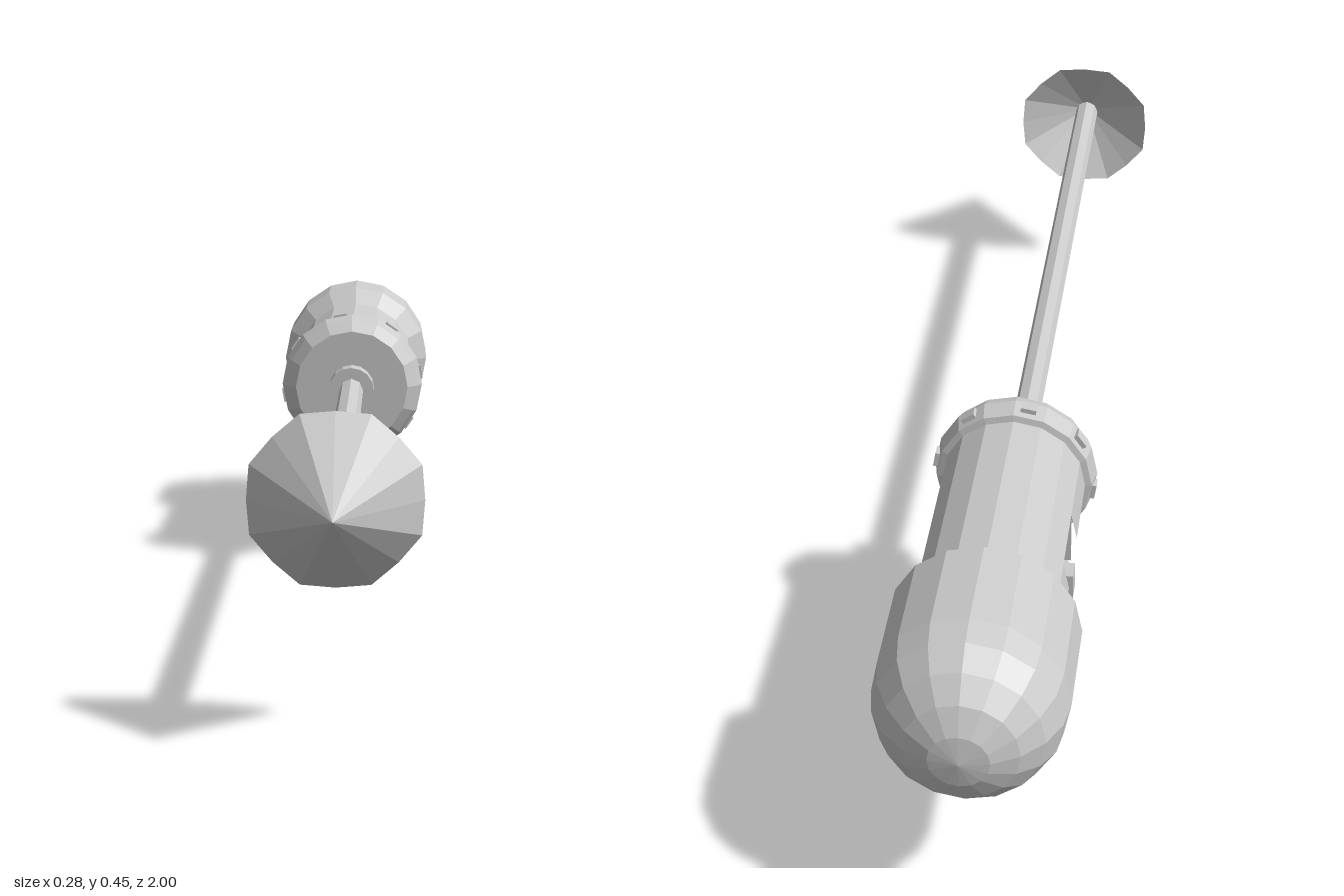
import * as THREE from 'three';

const AXIS = 0.315; // height of the long axis
const SIDES = 16;
const grey = new THREE.MeshStandardMaterial({ color: 0xcccccc, flatShading: true });

function add(parent, name, geometry, x = 0, y = 0, z = 0) {
  const mesh = new THREE.Mesh(geometry, grey);
  mesh.name = name;
  mesh.position.set(x, y, z);
  parent.add(mesh);
  return mesh;
}

// Revolve [radius, z] points, given back to front, around the z axis
function turned(profile, sides = SIDES) {
  const points = profile.map(([r, z]) => new THREE.Vector2(r, z));
  return new THREE.LatheGeometry(points, sides).rotateX(Math.PI / 2);
}

// Open tube from z0 to z1, optionally covering only part of the circle
function tube(z0, z1, r, start = 0, length = Math.PI * 2, sides = SIDES) {
  return new THREE.CylinderGeometry(r, r, z1 - z0, sides, 1, true, start, length)
    .rotateX(Math.PI / 2).translate(0, 0, (z0 + z1) / 2);
}

export function createModel() {
  const model = new THREE.Group();
  const barrel = new THREE.Group();
  barrel.name = 'barrel';
  barrel.position.y = AXIS;
  model.add(barrel);

  // Domed rear housing with a bevelled front edge
  const dome = [];
  for (let i = 0; i <= 5; i++) {
    const a = (i / 5) * Math.PI / 2;
    dome.push([0.138 * Math.sin(a), -0.862 - 0.138 * Math.cos(a)]);
  }
  add(barrel, 'rearHousing', turned([...dome, [0.138, -0.705], [0.11, -0.675]]));

  // Body, with an opening in its right side
  const r = 0.11, zBack = -0.61, zFront = -0.49;
  add(barrel, 'bodyRear', tube(-0.69, zBack, r));
  add(barrel, 'bodyMiddle',
    tube(zBack, zFront, r, Math.PI * 13 / 8, Math.PI * 7 / 4, 14));
  add(barrel, 'bodyFront', tube(zFront, -0.34, r));

  // Recess and switch in the opening
  const zMid = (zBack + zFront) / 2, half = r * Math.sin(Math.PI / 8);
  add(barrel, 'recessFloor', new THREE.BoxGeometry(0.01, half * 2, 0.12), -0.08, 0, zMid);
  for (const s of [-1, 1]) {
    add(barrel, 'recessSide', new THREE.BoxGeometry(0.022, 0.004, 0.12),
      -0.087, s * (half + 0.002), zMid);
    add(barrel, 'recessEnd', new THREE.BoxGeometry(0.025, half * 2, 0.004),
      -0.089, 0, zMid + s * 0.062);
  }
  add(barrel, 'switch', new THREE.BoxGeometry(0.035, 0.04, 0.032), -0.098, 0, -0.592);

  // Collar with bevelled nose and shaft socket
  add(barrel, 'collar', turned([
    [0.108, -0.355], [0.12, -0.352], [0.126, -0.32], [0.118, -0.298],
    [0.1, -0.274], [0.04, -0.274], [0.04, -0.23], [0.015, -0.23],
  ]));
  for (let i = 0; i < 8; i++) {
    const a = (10 + i * 45) * Math.PI / 180;
    const stud = add(barrel, 'collarStud', new THREE.BoxGeometry(0.014, 0.024, 0.02),
      0.12 * Math.cos(a), 0.12 * Math.sin(a), -0.332);
    stud.rotation.z = a;
  }

  // Long shaft
  add(barrel, 'shaft', turned([[0.021, -0.24], [0.021, 0.91]], 8));

  // Hollow-backed point; every second rim corner is pulled in to give eight facets
  const point = turned([[0, 0.91], [0.125, 0.84], [0, 1]]);
  const p = point.attributes.position;
  for (let i = 0; i < p.count; i++) {
    const step = Math.round(Math.atan2(p.getY(i), p.getX(i)) / (Math.PI / 8));
    const k = step % 2 === 0 ? 0.955 : 1;
    p.setXY(i, p.getX(i) * k, p.getY(i) * k);
  }
  add(barrel, 'point', point);

  // Handle: widens downward, with a shallow ridge under its foot
  const handle = new THREE.BoxGeometry(2, 1, 1, 2, 1, 1);
  const h = handle.attributes.position;
  for (let i = 0; i < h.count; i++) {
    const x = h.getX(i), front = h.getZ(i) > 0;
    if (h.getY(i) > 0) h.setXYZ(i, -0.005 + x * 0.042, 0.23, front ? -0.405 : -0.485);
    else h.setXYZ(i, -0.012 + x * 0.06, Math.abs(x) * 0.014, front ? -0.38 : -0.53);
  }
  add(model, 'handle', handle);

  return model;
}
